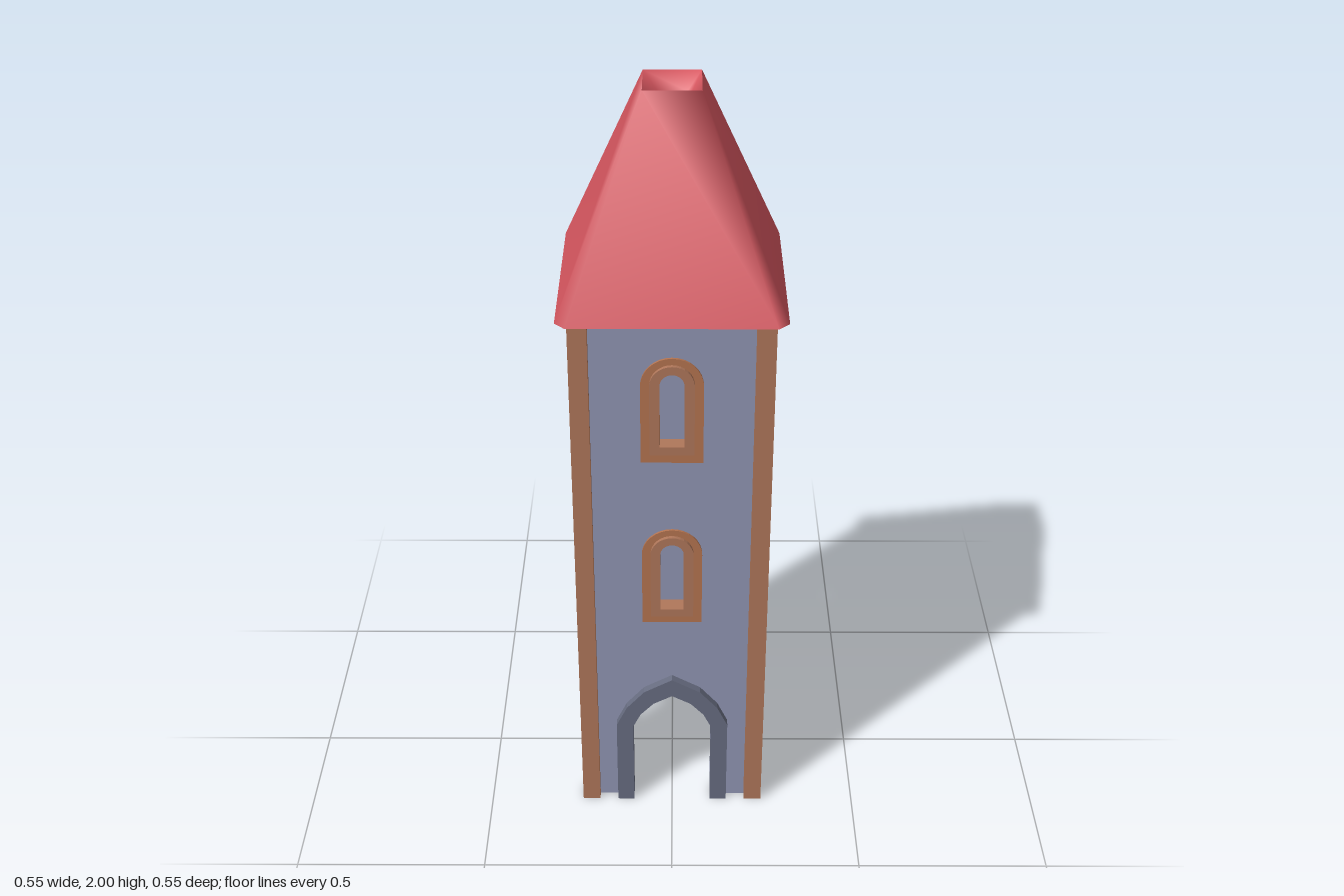
import * as THREE from 'three';
import { mergeVertices } from 'three/addons/utils/BufferGeometryUtils.js';

const material = (name, color) => {
  const m = new THREE.MeshStandardMaterial({ color });
  m.name = name;
  return m;
};

export function createModel() {
  const stone = material('blue grey wall', 0x9196b4);
  const wood = material('brown timber', 0xb0775a);
  const trim = material('orange brown trim', 0xb57450);
  const darkStone = material('dark grey stone', 0x686d81);
  const red = material('red roof', 0xd6565f);

  const tower = new THREE.Group();
  tower.name = 'tower';
  const H = 1.5, OUT = 0.247, IN = 0.2;

  function add(parent, name, geometry, mat) {
    const mesh = new THREE.Mesh(geometry, mat);
    mesh.name = name;
    parent.add(mesh);
    return mesh;
  }

  // Extrudes a shape between two depths
  function slab(shape, z0, z1) {
    const g = new THREE.ExtrudeGeometry(shape, { depth: z1 - z0, bevelEnabled: false, curveSegments: 8 });
    return g.translate(0, 0, z0);
  }

  // Round-headed window outline
  function roundArch(w, bottom, top, Type = THREE.Shape) {
    const s = new Type();
    s.moveTo(-w, bottom);
    s.lineTo(w, bottom);
    s.lineTo(w, top - w);
    s.absarc(0, top - w, w, 0, Math.PI, false);
    s.closePath();
    return s;
  }

  // Window at sill height y: thin surround and a raised deep frame
  function addWindow(side, y) {
    const win = new THREE.Group();
    win.name = 'window';
    const plate = roundArch(0.077, y, y + 0.292);
    plate.holes.push(roundArch(0.055, y + 0.027, y + 0.275, THREE.Path));
    add(win, 'windowSurround', slab(plate, 0.224, 0.231), trim);
    const frame = roundArch(0.055, y + 0.027, y + 0.275);
    frame.holes.push(roundArch(0.03, y + 0.05, y + 0.253, THREE.Path));
    add(win, 'windowFrame', slab(frame, 0.2, 0.241), wood);
    side.add(win);
  }

  // Pointed doorway, right half from the ground to the apex
  const outerArch = [[0.15, 0], [0.15, 0.27], [0.122, 0.33], [0.075, 0.385], [0, 0.427]];
  const innerArch = [[0.105, 0], [0.105, 0.265], [0.085, 0.307], [0.05, 0.345], [0, 0.372]];
  const mirrored = (half) => [...half, ...half.slice(0, -1).reverse().map(([x, y]) => [-x, y])];
  const toPoints = (list) => list.map(([x, y]) => new THREE.Vector2(x, y));

  // Four wall panels, each with its windows
  const sills = [[0.61, 1.105], [0.108, 1.105], [0.61, 1.105], [0.108, 1.105]];
  ['front', 'left', 'back', 'right'].forEach((label, i) => {
    const side = new THREE.Group();
    side.name = label + 'Side';
    side.rotation.y = i * Math.PI / 2;
    const outline = label === 'front'
      ? [[-IN, 0], ...mirrored(innerArch).reverse(), [IN, 0], [IN, H], [-IN, H]]
      : [[-IN, 0], [IN, 0], [IN, H], [-IN, H]];
    const wall = new THREE.Shape(toPoints(outline));
    for (const y of sills[i]) {
      wall.holes.push(roundArch(0.05, y + 0.032, y + 0.27, THREE.Path));
      addWindow(side, y);
    }
    add(side, label + 'Wall', slab(wall, 0.205, 0.225), stone);
    if (label === 'front') {
      const arch = new THREE.Shape(toPoints([...mirrored(outerArch), ...mirrored(innerArch).reverse()]));
      add(side, 'doorArch', slab(arch, 0.197, OUT), darkStone);
    }
    tower.add(side);
  });

  // Corner posts
  for (const x of [-1, 1]) for (const z of [-1, 1]) {
    const post = add(tower, 'cornerPost', new THREE.BoxGeometry(OUT - IN, H, OUT - IN), wood);
    post.position.set(x * (OUT + IN) / 2, H / 2, z * (OUT + IN) / 2);
  }

  // Square ring with cut corners
  function ring(h, cut, y) {
    const k = h - cut;
    return [[h, -k], [h, k], [k, h], [-k, h], [-h, k], [-h, -k], [-k, -h], [k, -h]].map(([x, z]) => [x, y, z]);
  }

  // Joins two rings into a band, smooth within the band
  function band(a, b) {
    const pos = [];
    const triangle = (p, q, r) => {
      const same = (u, v) => u.every((c, j) => Math.abs(c - v[j]) < 1e-6);
      if (!same(p, q) && !same(q, r) && !same(r, p)) pos.push(...p, ...q, ...r);
    };
    a.forEach((p, i) => {
      const n = (i + 1) % a.length;
      triangle(p, b[i], b[n]);
      triangle(p, b[n], a[n]);
    });
    const g = new THREE.BufferGeometry();
    g.setAttribute('position', new THREE.Float32BufferAttribute(pos, 3));
    const merged = mergeVertices(g);
    merged.computeVertexNormals();
    return merged;
  }

  // Roof: underside, slopes, and the sunken top
  const roof = new THREE.Group();
  roof.name = 'roof';
  const eaves = ring(0.275, 0.026, H), rim = ring(0.069, 0, 2), pit = ring(0.035, 0, 1.96);
  add(roof, 'roofUnderside', band(ring(0, 0, H), eaves), red);
  add(roof, 'roofSlopes', band(eaves, rim), red);
  add(roof, 'roofTopHollow', band(rim, pit), red);
  add(roof, 'roofTopFloor', band(pit, ring(0, 0, 1.96)), red);
  tower.add(roof);

  return tower;
}
